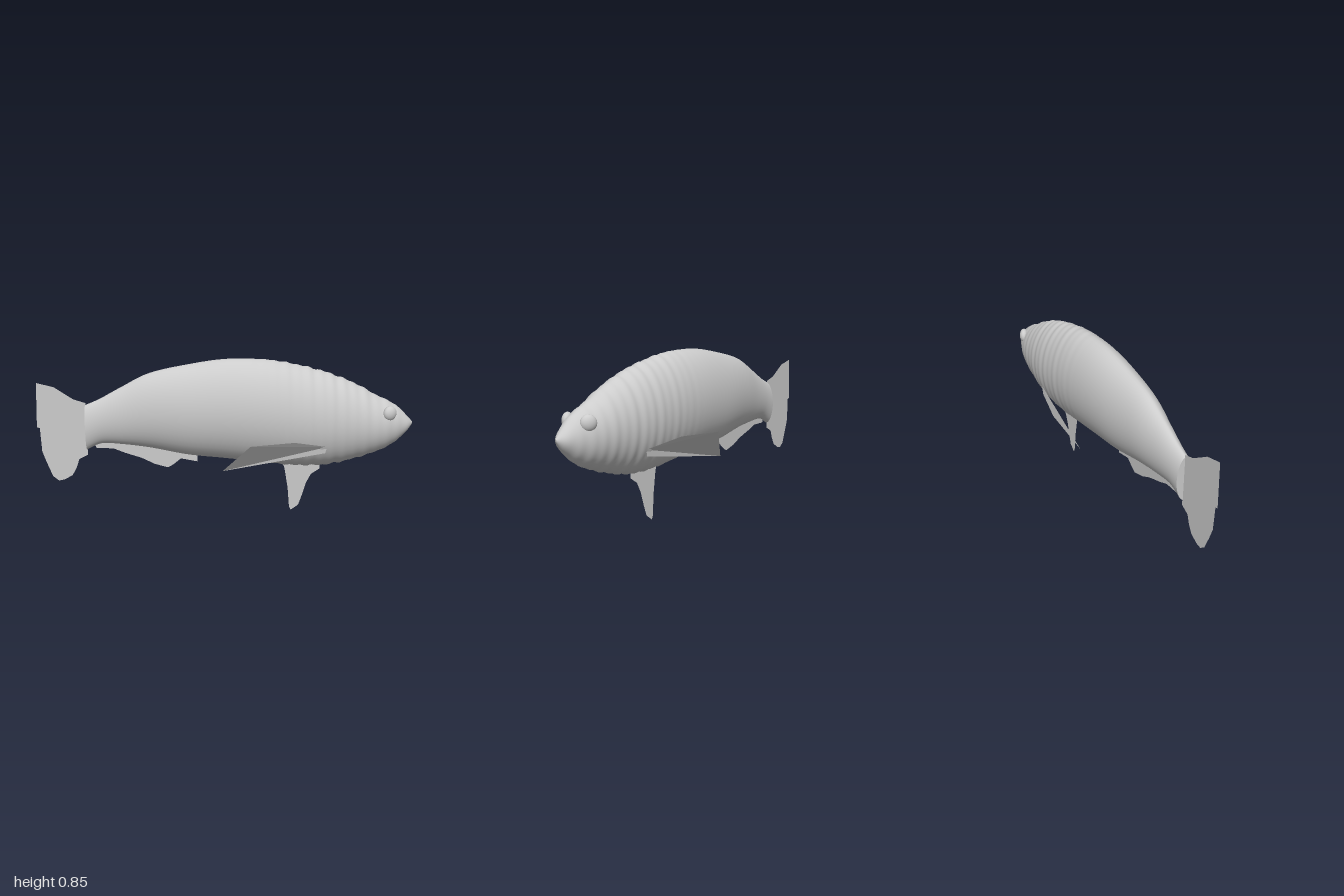
import * as THREE from 'three';

const SIDES = 40, RINGS = 190;

// Body stations from tail to snout: x, top, bottom, half width
const STATIONS = [
  [-0.74, 0.605, 0.36, 0.045], [-0.66, 0.64, 0.395, 0.052], [-0.55, 0.70, 0.39, 0.068],
  [-0.4, 0.775, 0.37, 0.095], [-0.2, 0.82, 0.33, 0.124], [0, 0.848, 0.308, 0.14],
  [0.2, 0.845, 0.284, 0.148], [0.35, 0.822, 0.267, 0.149], [0.5, 0.785, 0.265, 0.146],
  [0.6, 0.75, 0.278, 0.136], [0.7, 0.706, 0.303, 0.122], [0.8, 0.65, 0.335, 0.104],
  [0.88, 0.612, 0.372, 0.08], [0.93, 0.575, 0.41, 0.057], [0.97, 0.535, 0.45, 0.035],
  [1, 0.503, 0.492, 0.003],
];

const curveOf = (k) => new THREE.SplineCurve(STATIONS.map((s) => new THREE.Vector2(s[0], s[k])));
const topCurve = curveOf(1), bottomCurve = curveOf(2), widthCurve = curveOf(3);

// Uneven folds that grow towards the head
function ripple(x) {
  const grow = THREE.MathUtils.smoothstep(x, 0, 0.5) * (1 - THREE.MathUtils.smoothstep(x, 0.9, 1));
  return 1 + 0.011 * grow * (Math.sin(x * 105) + 0.6 * Math.sin(x * 61 + 1));
}

// One lens-shaped cross-section
function ring(t) {
  const { x, y: top } = topCurve.getPoint(t);
  const bottom = bottomCurve.getPoint(t).y;
  const f = ripple(x);
  const mid = (top + bottom) / 2, h = (top - bottom) / 2 * f, w = widthCurve.getPoint(t).y * f;
  return Array.from({ length: SIDES }, (_, j) => {
    const a = j / SIDES * Math.PI * 2, s = Math.sin(a);
    return [x, mid + h * Math.cos(a), w * Math.sign(s) * Math.abs(s) ** 1.15];
  });
}

function bodyGeometry() {
  const pos = [], index = [];
  for (let i = 0; i <= RINGS; i++) {
    pos.push(...ring(i / RINGS).flat());
    if (i === RINGS) break;
    for (let j = 0; j < SIDES; j++) {
      const a = i * SIDES + j, b = i * SIDES + (j + 1) % SIDES;
      index.push(a, b, a + SIDES, b, b + SIDES, a + SIDES);
    }
  }
  const g = new THREE.BufferGeometry();
  g.setAttribute('position', new THREE.Float32BufferAttribute(pos, 3));
  g.setIndex(index);
  g.computeVertexNormals();
  return g;
}

// Flat-shaded fan of triangles around the first point
function fan(points) {
  const pos = [];
  for (let i = 1; i < points.length - 1; i++) pos.push(...points[0], ...points[i], ...points[i + 1]);
  const g = new THREE.BufferGeometry();
  g.setAttribute('position', new THREE.Float32BufferAttribute(pos, 3));
  g.computeVertexNormals();
  return g;
}

const flatFin = (outline) => new THREE.ShapeGeometry(
  new THREE.Shape(outline.map(([x, y]) => new THREE.Vector2(x, y))));

export function createModel() {
  const model = new THREE.Group();
  model.name = 'fish';
  const grey = new THREE.MeshStandardMaterial({ color: 0xcccccc, side: THREE.DoubleSide });
  grey.name = 'grey';
  const add = (name, geometry) => {
    const mesh = new THREE.Mesh(geometry, grey);
    mesh.name = name;
    model.add(mesh);
    return mesh;
  };

  add('body', bodyGeometry());
  add('tailStump', fan(ring(0)));

  // Upright fins along the centre line
  add('tailFin', flatFin([
    [-0.99, 0.725], [-0.94, 0.712], [-0.9, 0.702], [-0.85, 0.668], [-0.8, 0.635], [-0.737, 0.615],
    [-0.737, 0.33], [-0.785, 0.305], [-0.8, 0.26], [-0.825, 0.215], [-0.87, 0.19], [-0.9, 0.185],
    [-0.93, 0.21], [-0.96, 0.29], [-0.98, 0.35], [-0.985, 0.48], [-1, 0.485],
  ])).position.z = -0.004;
  add('analFin', flatFin([
    [-0.7, 0.4], [-0.69, 0.367], [-0.6, 0.365], [-0.54, 0.34], [-0.45, 0.31], [-0.38, 0.275],
    [-0.31, 0.255], [-0.28, 0.272], [-0.24, 0.305], [-0.15, 0.287], [-0.15, 0.36], [-0.4, 0.4],
  ])).position.z = -0.002;
  const pelvic = flatFin([
    [0.3, 0.3], [0.32, 0.245], [0.34, 0.13], [0.35, 0.02], [0.36, 0], [0.4, 0.03], [0.42, 0.09],
    [0.44, 0.16], [0.465, 0.21], [0.51, 0.24], [0.51, 0.3],
  ]);
  pelvic.rotateX(0.027);
  pelvic.translate(0, 0, -0.008);
  add('pelvicFin', pelvic);

  // Paired side fins and eyes
  for (const [side, s] of [['right', 1], ['left', -1]]) {
    add(side + 'PectoralFin', fan([
      [0.53, 0.4, 0.12 * s], [0.35, 0.447, 0.195 * s], [0.12, 0.445, 0.25 * s],
      [-0.02, 0.287, 0.165 * s], [0.52, 0.365, 0.117 * s],
    ]));
    const eye = add(side + 'Eye', new THREE.SphereGeometry(0.04, 24, 16));
    eye.position.set(0.862, 0.565, 0.066 * s);
    eye.rotation.y = 0.5 * s;
    eye.scale.z = 0.65;
  }
  return model;
}
